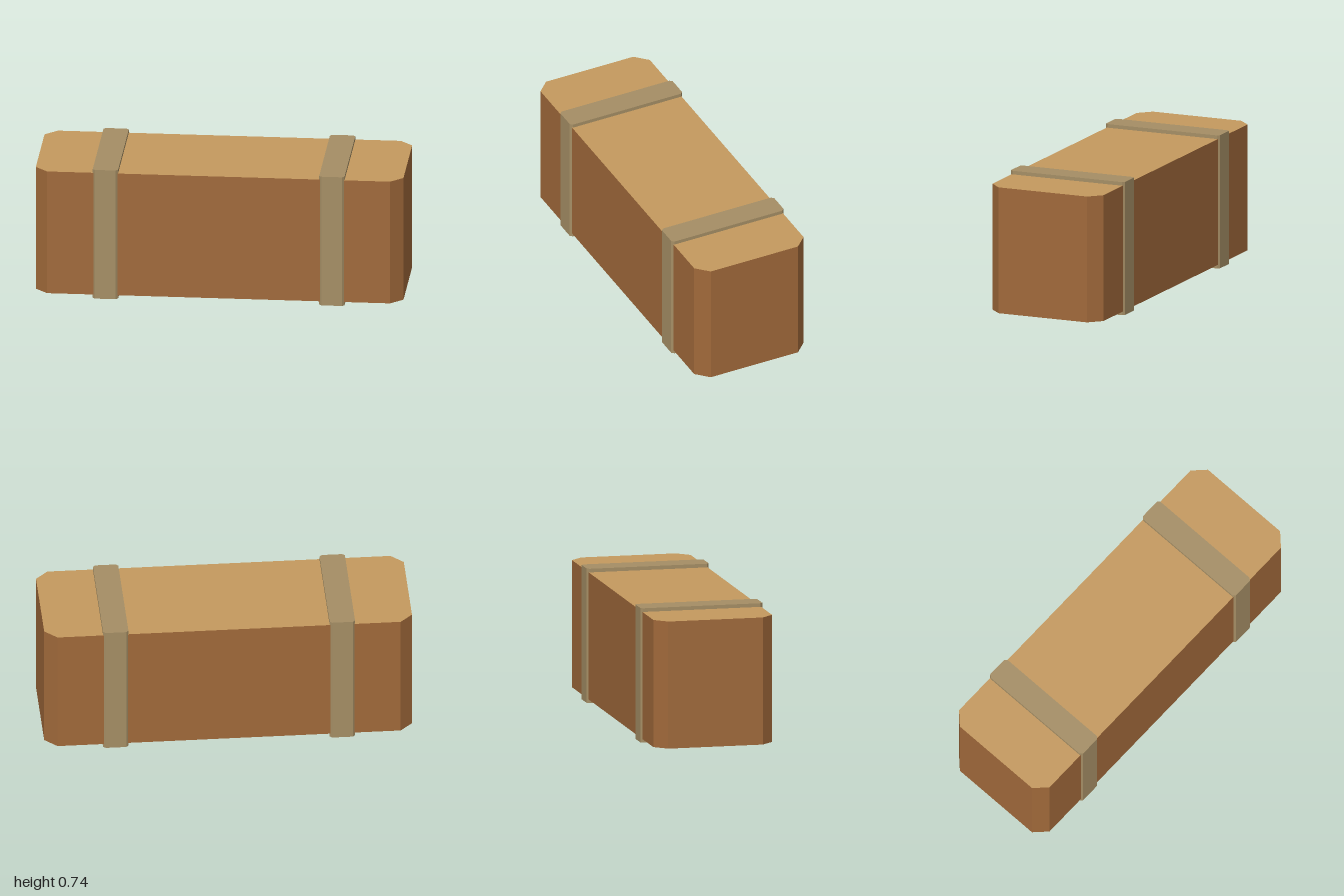
import * as THREE from 'three';

// Upright block with chamfered vertical corners, centred on x and z
function chamferedBlock(width, depth, chamfer, bottom, top) {
  const x = width / 2, z = depth / 2, c = chamfer;
  const shape = new THREE.Shape([
    [x - c, -z], [x, -z + c], [x, z - c], [x - c, z],
    [-x + c, z], [-x, z - c], [-x, -z + c], [-x + c, -z],
  ].map(([a, b]) => new THREE.Vector2(a, b)));
  const geometry = new THREE.ExtrudeGeometry(shape, { depth: top - bottom, bevelEnabled: false });
  geometry.rotateX(-Math.PI / 2);
  geometry.translate(0, bottom, 0);
  return geometry;
}

export function createModel() {
  const group = new THREE.Group();
  const bark = new THREE.MeshStandardMaterial({ name: 'brown sides', color: 0xa0693a });
  const wood = new THREE.MeshStandardMaterial({ name: 'tan top and bottom', color: 0xc4995e });
  const strap = new THREE.MeshStandardMaterial({ name: 'grey tan strap', color: 0xa58e65 });

  // Main block: caps use the first material, walls the second
  const body = new THREE.Mesh(chamferedBlock(2, 0.662, 0.067, 0.02, 0.72), [wood, bark]);
  body.name = 'body';
  group.add(body);

  // Two straps wrapped around the block
  for (const [name, side] of [['leftStrap', 1], ['rightStrap', -1]]) {
    const mesh = new THREE.Mesh(chamferedBlock(0.138, 0.68, 0.013, 0, 0.74), strap);
    mesh.name = name;
    mesh.position.x = side * 0.616;
    group.add(mesh);
  }
  return group;
}
